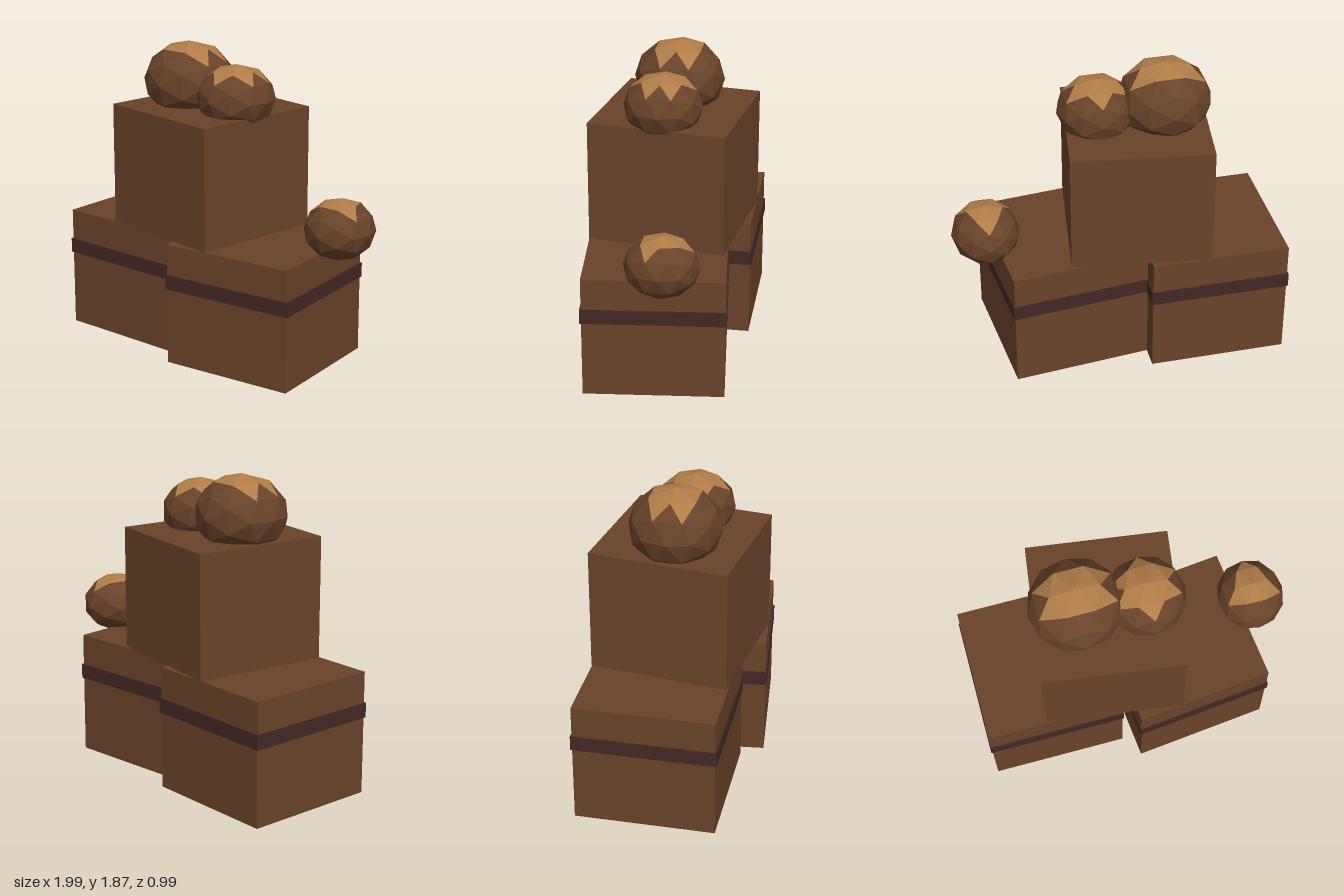
import * as THREE from 'three';

const mat = (name, color, extra = {}) => {
  const m = new THREE.MeshStandardMaterial({ color, ...extra });
  m.name = name;
  return m;
};

export function createModel() {
  const model = new THREE.Group();
  const brown = mat('brown', 0x69432a, { flatShading: true });
  const darkBrown = mat('dark brown', 0x422822, { flatShading: true });
  const golden = mat('golden', 0xb07c48, { flatShading: true });

  // Upright block turned about the vertical axis
  const block = (name, material, size, height, x, y, z, turn) => {
    const mesh = new THREE.Mesh(new THREE.BoxGeometry(size, height, size), material);
    mesh.name = name;
    mesh.position.set(x, y + height / 2, z);
    mesh.rotation.y = turn;
    model.add(mesh);
  };

  // Two lower blocks, each with a dark band, and one block stacked on top
  const lower = [['right', -0.572, -0.07, 0], ['left', 0.31, 0.02, 0.105]];
  for (const [side, x, z, turn] of lower) {
    block(side + 'LowerBlock', brown, 0.84, 0.75, x, 0, z, turn);
    block(side + 'Band', darkBrown, 0.857, 0.09, x, 0.47, z, turn);
  }
  block('upperBlock', brown, 0.84, 0.745, -0.15, 0.75, -0.02, -0.138);

  // Faceted lump whose crown of top faces is golden
  const lump = (name, [x, y, z], [rx, ry, rz], isGolden) => {
    const geo = new THREE.IcosahedronGeometry(1, 1);
    const p = geo.attributes.position;
    const c = new THREE.Vector3(), v = new THREE.Vector3();
    for (let i = 0; i < p.count; i += 3) {
      c.set(0, 0, 0);
      for (let k = 0; k < 3; k++) c.add(v.fromBufferAttribute(p, i + k));
      c.divideScalar(3);
      const top = c.y > 0.8 || (c.y > 0.68 && isGolden(c));
      geo.addGroup(i, 3, top ? 1 : 0);
    }
    geo.scale(rx, ry, rz);
    geo.computeVertexNormals();
    const mesh = new THREE.Mesh(geo, [brown, golden]);
    mesh.name = name;
    mesh.position.set(x, y, z);
    model.add(mesh);
  };

  lump('largeLump', [-0.32, 1.63, -0.02], [0.283, 0.24, 0.277], c => Math.abs(c.x) > 0.4);
  lump('mediumLump', [0.083, 1.585, 0.018], [0.238, 0.2, 0.238], () => true);
  lump('smallLump', [0.787, 0.885, -0.085], [0.207, 0.185, 0.223],
    c => (Math.abs(c.x) > 0.4 ? c.z > 0 : c.z < 0));

  return model;
}
